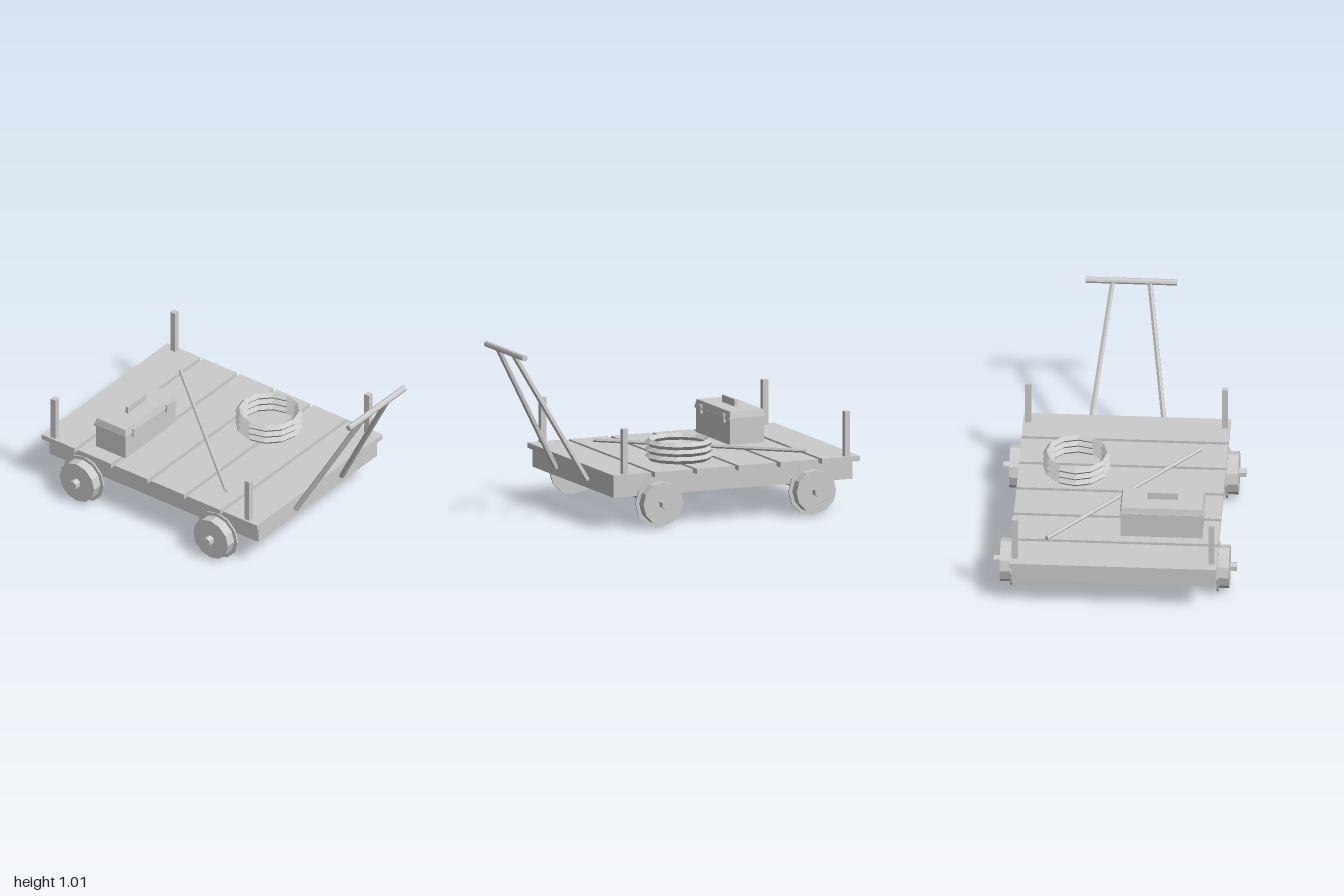
import * as THREE from 'three';

const grey = new THREE.MeshStandardMaterial({ color: 0xcccccc, flatShading: true });
grey.name = 'pale grey';

export function createModel() {
  const model = new THREE.Group();
  model.name = 'handCart';

  const add = (name, geometry, x, y, z, parent = model) => {
    const mesh = new THREE.Mesh(geometry, grey);
    mesh.name = name;
    mesh.position.set(x, y, z);
    parent.add(mesh);
    return mesh;
  };
  // Box given by its min and max corners
  const box = (name, [x0, y0, z0], [x1, y1, z1], parent) =>
    add(name, new THREE.BoxGeometry(x1 - x0, y1 - y0, z1 - z0),
      (x0 + x1) / 2, (y0 + y1) / 2, (z0 + z1) / 2, parent);
  // Straight bar between two points
  const bar = (name, from, to, radius, sides = 6) => {
    const a = new THREE.Vector3(...from), b = new THREE.Vector3(...to);
    const mid = a.clone().add(b).multiplyScalar(0.5);
    const mesh = add(name, new THREE.CylinderGeometry(radius, radius, a.distanceTo(b), sides), mid.x, mid.y, mid.z);
    mesh.quaternion.setFromUnitVectors(new THREE.Vector3(0, 1, 0), b.sub(a).normalize());
    return mesh;
  };
  // Cylinder lying along x
  const disc = (name, radius, width, sides, x, y, z, turn = 0) => {
    const geometry = new THREE.CylinderGeometry(radius, radius, width, sides);
    geometry.rotateY(turn).rotateZ(Math.PI / 2);
    return add(name, geometry, x, y, z);
  };

  // Deck planks
  for (let i = 0; i < 6; i++) {
    const z = -0.879 + i * 0.2655;
    box('plank', [-0.6, 0.294, z - 0.121], [0.6, 0.325, z + 0.121]);
  }

  // Frame under the deck
  box('frontBeam', [-0.565, 0.187, 0.478], [0.565, 0.294, 0.553]);
  box('backBeam', [-0.565, 0.187, -0.967], [0.565, 0.294, -0.892]);
  for (const s of [-1, 1]) {
    const rail = add('sideRail', new THREE.BoxGeometry(0.075, 0.107, 1.37), s * 0.5275, 0.2405, -0.207);
    rail.name = s > 0 ? 'leftRail' : 'rightRail';
  }

  // Axles, bearing blocks and flanged wheels
  for (const z of [0.281, -0.693]) {
    disc('axle', 0.028, 1.41, 6, 0, 0.148, z, Math.PI / 6);
    for (const s of [-1, 1]) {
      add('bearingBlock', new THREE.BoxGeometry(0.088, 0.072, 0.1), s * 0.52, 0.151, z);
      disc('wheelTread', 0.126, 0.066, 12, s * 0.631, 0.148, z);
      disc('wheelFlange', 0.148, 0.01, 12, s * 0.598, 0.148, z);
    }
  }

  // Corner stakes
  for (const x of [-0.57, 0.57])
    for (const z of [0.487, -0.925])
      box('stake', [x - 0.017, 0.3, z - 0.017], [x + 0.017, 0.59, z + 0.017]);

  // Pull handle
  for (const s of [-1, 1])
    bar('handleLeg', [s * 0.218, 0.235, 0.562], [s * 0.108, 0.985, 0.979], 0.0165);
  disc('handleGrip', 0.0185, 0.53, 8, 0, 0.99, 0.981);

  // Toolbox
  const toolbox = new THREE.Group();
  toolbox.name = 'toolbox';
  model.add(toolbox);
  box('boxBody', [-0.504, 0.325, -0.675], [-0.03, 0.478, -0.46], toolbox);
  box('lidRim', [-0.512, 0.47, -0.683], [-0.023, 0.482, -0.453], toolbox);
  const lid = box('lid', [-0.51, 0.482, -0.681], [-0.025, 0.52, -0.455], toolbox);
  // Draw the top of the lid in slightly
  const p = lid.geometry.attributes.position;
  for (let i = 0; i < p.count; i++)
    if (p.getY(i) > 0) {
      p.setX(i, p.getX(i) - Math.sign(p.getX(i)) * 0.008);
      p.setZ(i, p.getZ(i) - Math.sign(p.getZ(i)) * 0.008);
    }
  lid.geometry.computeVertexNormals();
  box('carryHandle', [-0.355, 0.52, -0.573], [-0.18, 0.562, -0.558], toolbox);
  for (const x of [-0.428, -0.108]) {
    box('clasp', [x - 0.018, 0.45, -0.46], [x + 0.018, 0.5, -0.446], toolbox);
    box('hinge', [x - 0.033, 0.465, -0.688], [x + 0.033, 0.49, -0.675], toolbox);
  }

  // Coiled rope
  for (let i = 0; i < 3; i++) {
    const ring = new THREE.TorusGeometry(0.176, 0.0215, 4, 12);
    ring.rotateX(Math.PI / 2);
    add('ropeLoop', ring, 0.262, 0.3465 + i * 0.041, 0);
  }

  // Loose rod lying across the deck
  bar('rod', [-0.44, 0.341, 0.223], [0.395, 0.341, -0.746], 0.013);

  return model;
}
